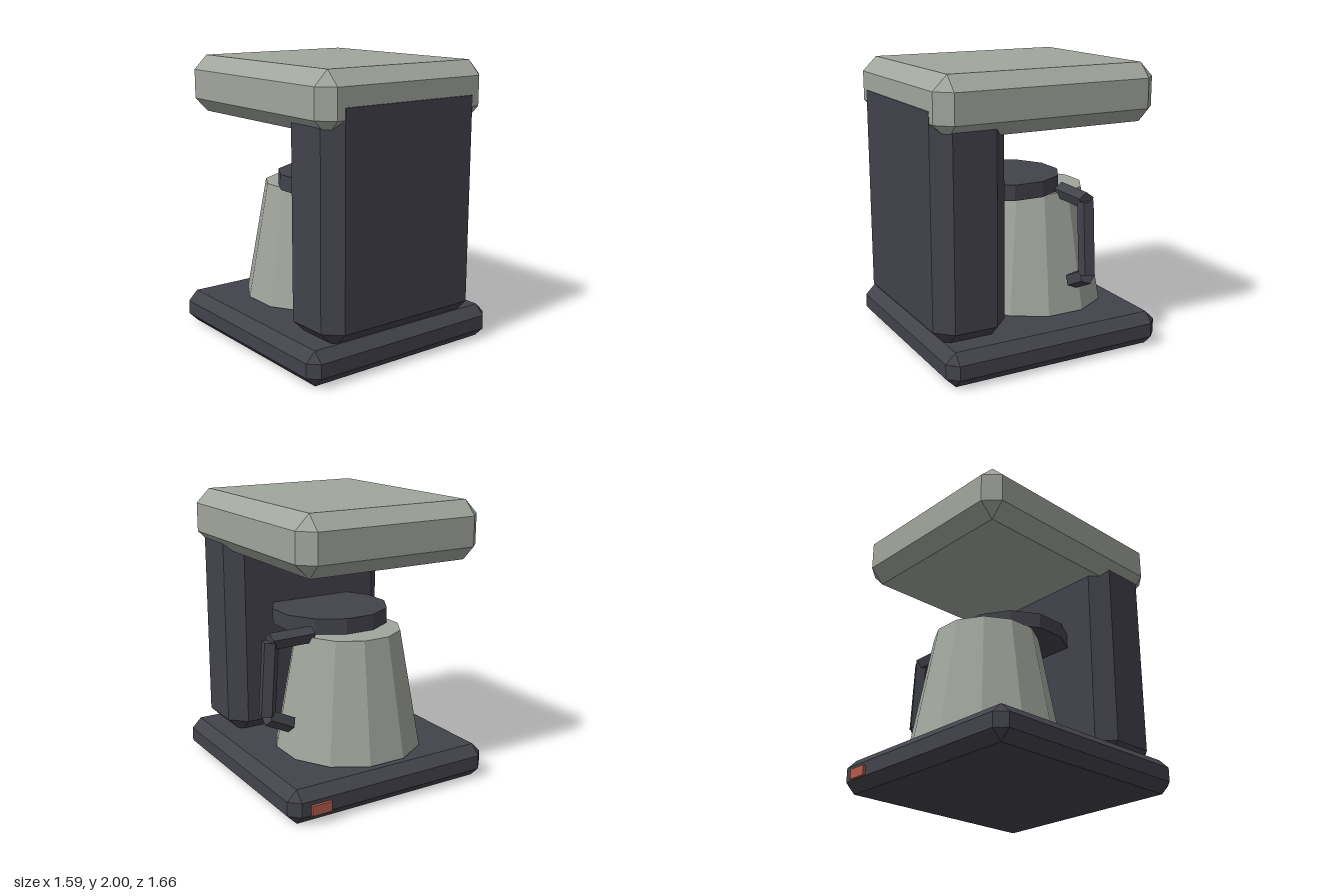
import * as THREE from 'three';
import { ConvexGeometry } from 'three/addons/geometries/ConvexGeometry.js';

const rad = THREE.MathUtils.degToRad;

function material(name, color) {
  const m = new THREE.MeshStandardMaterial({ color });
  m.name = name;
  return m;
}

// Box with every edge cut by a flat bevel c
function bevelBox(x0, x1, y0, y1, z0, z1, c) {
  const size = [(x1 - x0) / 2, (y1 - y0) / 2, (z1 - z0) / 2];
  const points = [];
  for (const sx of [-1, 1]) for (const sy of [-1, 1]) for (const sz of [-1, 1]) {
    for (let axis = 0; axis < 3; axis++) {
      const p = size.map((s, i) => (i === axis ? s : s - c));
      points.push(new THREE.Vector3(sx * p[0], sy * p[1], sz * p[2]));
    }
  }
  return new ConvexGeometry(points).translate((x0 + x1) / 2, (y0 + y1) / 2, (z0 + z1) / 2);
}

// Faceted cylinder with hard edges, turned by a start angle in degrees
function faceted(rTop, rBottom, height, sides, turn) {
  const g = new THREE.CylinderGeometry(rTop, rBottom, height, sides, 1, false, rad(turn)).toNonIndexed();
  g.computeVertexNormals();
  return g;
}

export function createModel() {
  const group = new THREE.Group();
  group.name = 'coffeeMaker';
  const dark = material('charcoal', 0x42424b);
  const grey = material('warmGrey', 0xa0a59d);
  const red = material('brickRed', 0xb35a49);

  const add = (name, geometry, mat) => {
    const mesh = new THREE.Mesh(geometry, mat);
    mesh.name = name;
    group.add(mesh);
    return mesh;
  };

  // Body: base plate, water tower and overhanging head
  add('base', bevelBox(-0.795, 0.795, 0, 0.24, -0.81, 0.83, 0.07), dark);
  add('tower', bevelBox(-0.65, 0.65, 0.21, 1.88, 0.305, 0.832, 0.11), dark);
  add('head', bevelBox(-0.7, 0.7, 1.595, 2, -0.81, 0.83, 0.1), grey);

  // Carafe and its lid
  add('carafe', faceted(0.373, 0.525, 0.84, 12, 15), grey).position.set(0, 0.67, -0.205);
  add('lid', faceted(0.419, 0.419, 0.11, 12, 15), dark).position.set(0, 1.145, 0.04);

  // Handle: three five-sided bars
  const up = new THREE.Vector3(0, 1, 0);
  const bar = (name, a, b, turn) => {
    const from = new THREE.Vector3(a[0], a[1], -0.265);
    const to = new THREE.Vector3(b[0], b[1], -0.265);
    const dir = to.clone().sub(from);
    const mesh = add(name, faceted(0.06, 0.06, dir.length(), 5, turn), dark);
    mesh.position.copy(from).add(to).multiplyScalar(0.5);
    mesh.quaternion.setFromUnitVectors(up, dir.normalize());
  };
  bar('handleTop', [0.33, 1.1], [0.65, 1.095], 54);
  bar('handleGrip', [0.68, 0.585], [0.645, 1.095], 42);
  bar('handleBottom', [0.675, 0.57], [0.5, 0.485], 42);

  // Power switch on the edge of the base
  add('powerSwitch', new THREE.BoxGeometry(0.145, 0.07, 0.04), red).position.set(0.583, 0.107, -0.81);

  return group;
}
